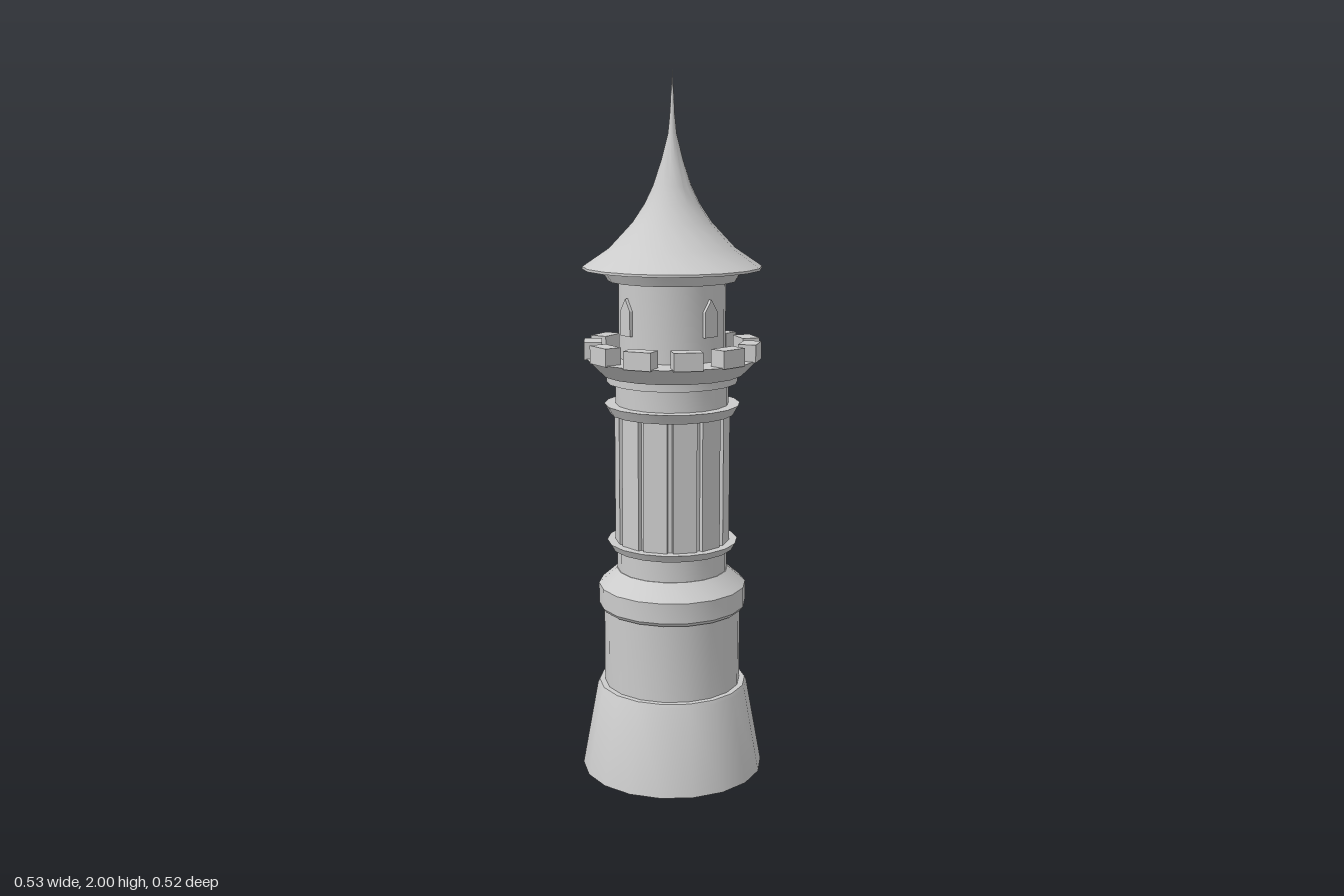
import * as THREE from 'three';
import { toCreasedNormals } from 'three/addons/utils/BufferGeometryUtils.js';

const SIDES = 18;
const SLOTS = 11; // angular grid shared by merlons and windows

export function createModel() {
  const tower = new THREE.Group();
  tower.name = 'tower';
  const material = new THREE.MeshStandardMaterial({ color: 0xcccccc });

  const add = (name, geometry, parent = tower) => {
    const mesh = new THREE.Mesh(geometry, material);
    mesh.name = name;
    parent.add(mesh);
    return mesh;
  };

  // Turned part from [radius, y] pairs listed bottom to top
  const turned = (name, profile) => {
    const points = profile.map(([r, y]) => new THREE.Vector2(r, y));
    const lathe = new THREE.LatheGeometry(points, SIDES, Math.PI / 2);
    return add(name, toCreasedNormals(lathe, 0.5));
  };

  // Repeats a part around the axis; its local +z points outwards
  const around = (name, geometry, angles) => {
    const ring = new THREE.Group();
    ring.name = name + 's';
    tower.add(ring);
    for (const a of angles) add(name, geometry, ring).rotation.y = a;
  };

  // Lower storeys
  turned('base', [[0, 0], [0.263, 0], [0.218, 0.25], [0.213, 0.26], [0.19, 0.26]]);
  turned('lowerWall', [[0.197, 0.25], [0.197, 0.5]]);
  turned('lowerCollar', [[0.19, 0.487], [0.205, 0.487], [0.212, 0.497], [0.212, 0.555], [0.16, 0.6], [0.15, 0.6]]);
  turned('lowerNeck', [[0.158, 0.59], [0.158, 0.67]]);
  turned('lowerRing', [[0.15, 0.664], [0.175, 0.664], [0.187, 0.685], [0.14, 0.685]]);

  // Shaft with flat vertical staves
  turned('shaft', [[0.154, 0.68], [0.154, 1.06]]);
  const stave = new THREE.BoxGeometry(0.068, 0.375, 0.02).translate(0, 0.87, 0.15);
  around('stave', stave, Array.from({ length: 12 }, (_, i) => (i / 12) * Math.PI * 2));

  // Rings and neck under the balcony
  turned('upperRing', [[0.14, 1.055], [0.176, 1.055], [0.192, 1.083], [0.15, 1.083]]);
  turned('upperNeck', [[0.16, 1.075], [0.16, 1.15]]);
  turned('balconyRing', [[0.15, 1.145], [0.185, 1.145], [0.185, 1.168], [0.15, 1.168]]);
  turned('balcony', [[0.15, 1.168], [0.2, 1.168], [0.247, 1.215], [0.13, 1.215]]);

  const slot = (i) => (i / SLOTS) * Math.PI * 2;
  const merlon = new THREE.BoxGeometry(0.08, 0.05, 0.05).translate(0, 1.237, 0.222);
  around('merlon', merlon, Array.from({ length: SLOTS }, (_, i) => slot(i)));

  // Lookout room with pointed windows
  turned('lookoutWall', [[0.15, 1.21], [0.15, 1.44]]);
  const arch = new THREE.Shape();
  arch.moveTo(-0.023, 1.285);
  arch.lineTo(0.023, 1.285);
  arch.lineTo(0.023, 1.355);
  arch.lineTo(0, 1.388);
  arch.lineTo(-0.023, 1.355);
  const windowGeometry = new THREE.ExtrudeGeometry(arch, { depth: 0.024, bevelEnabled: false });
  windowGeometry.translate(0, 0, 0.133);
  around('window', windowGeometry, [0, 3, 6, 8].map(slot));

  // Cornice and flared spire
  turned('cornice', [[0.14, 1.43], [0.18, 1.43], [0.2, 1.466]]);
  turned('roof', [[0, 1.462], [0.25, 1.462], [0.25, 1.469], [0.175, 1.52], [0.11, 1.59], [0.077, 1.64],
    [0.053, 1.69], [0.03, 1.76], [0.012, 1.83], [0.007, 1.88], [0.004, 1.94], [0, 2]]);

  return tower;
}
